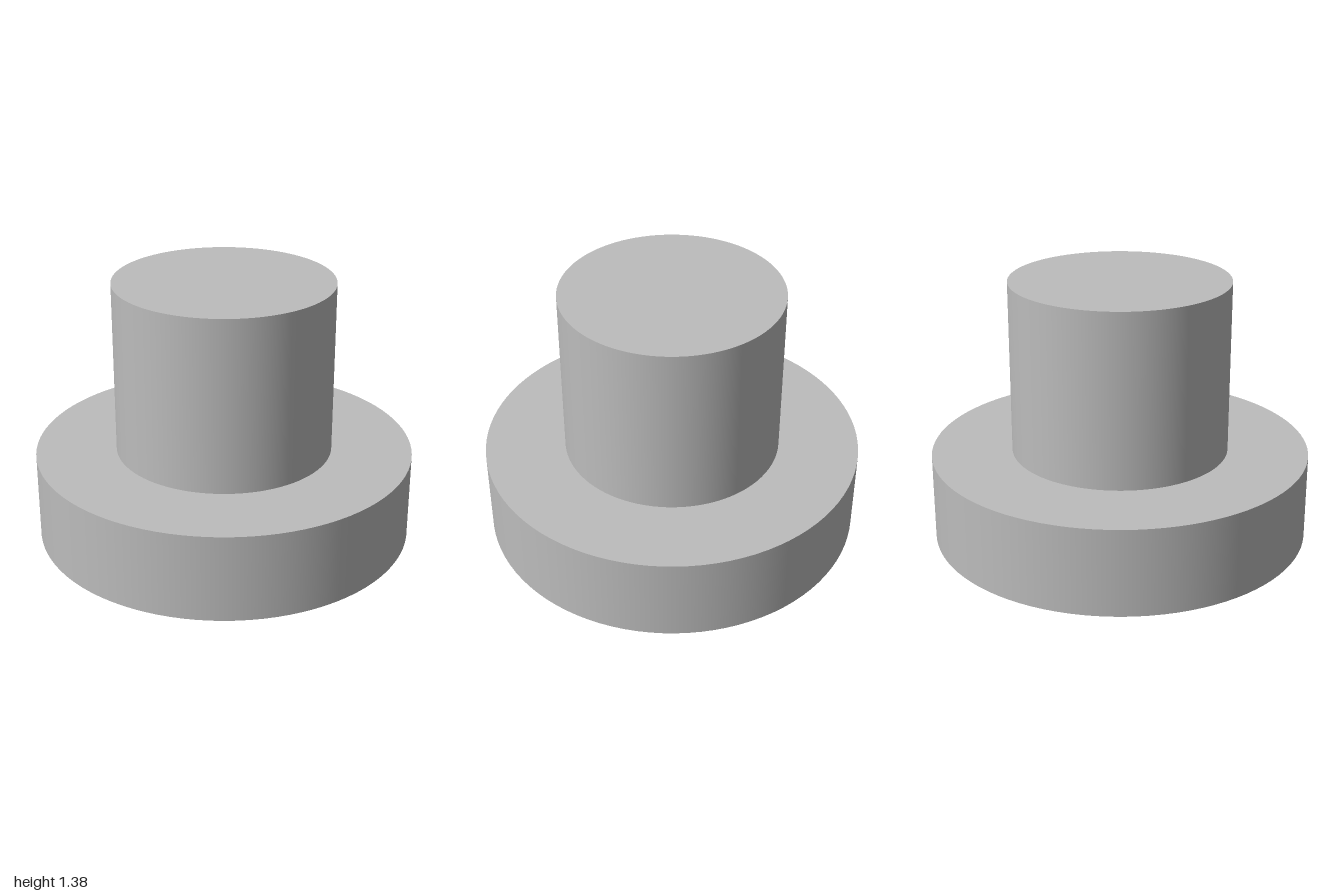
import * as THREE from 'three';
import { mergeGeometries } from 'three/addons/utils/BufferGeometryUtils.js';

const SEGMENTS = 96;

// Revolve one smooth strip of [radius, height] points.
function strip(points) {
  return new THREE.LatheGeometry(points.map(([r, y]) => new THREE.Vector2(r, y)), SEGMENTS);
}

// Revolve a profile with a sharp edge at every corner.
function sharpProfile(points) {
  return points.slice(1).map((p, i) => strip([points[i], p]));
}

export function createModel() {
  const model = new THREE.Group();
  model.name = 'flangedKnob';
  const grey = new THREE.MeshStandardMaterial({ color: 0xbcbcbc });
  grey.name = 'plain grey';

  const add = (name, parts) => {
    const mesh = new THREE.Mesh(mergeGeometries(parts), grey);
    mesh.name = name;
    model.add(mesh);
  };

  const flangeTop = 0.46, stemRadius = 0.575, stemTop = 1.38;
  const boreRadius = 0.266, boreTop = 1.15;

  // Wide base, hollowed underneath, with a round opening into the stem
  add('flange', sharpProfile([
    [0.339, flangeTop], [0.339, 0.306], [0.928, 0.306], [0.928, 0],
    [1, 0], [1, flangeTop], [stemRadius, flangeTop],
  ]));

  // Solid upright stem with its underside shoulder
  add('stem', [
    ...sharpProfile([[stemRadius, flangeTop], [stemRadius, stemTop], [0, stemTop]]),
    strip([[boreRadius, flangeTop], [0.339, flangeTop]]),
  ]);

  // Blind bore with shallow rounded grooves
  const bore = [];
  const steps = 56, grooves = 7;
  for (let i = 0; i <= steps; i++) {
    const t = i / steps;
    const depth = 0.015 * Math.abs(Math.sin(t * grooves * Math.PI));
    bore.push([boreRadius + depth, boreTop + (flangeTop - boreTop) * t]);
  }
  add('bore', [strip([[0, boreTop], [boreRadius, boreTop]]), strip(bore)]);

  return model;
}
